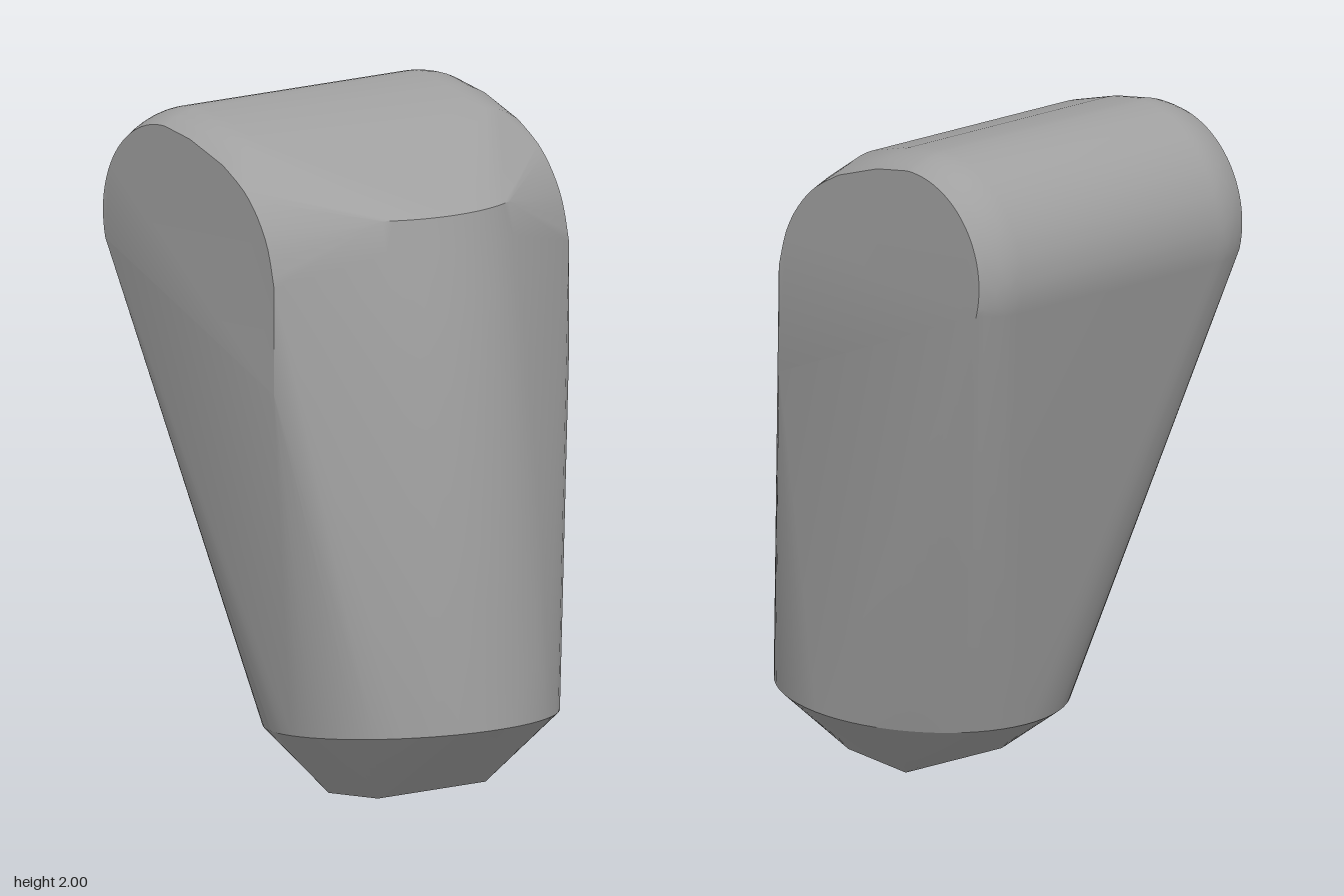
import * as THREE from 'three';
import { ConvexGeometry } from 'three/addons/geometries/ConvexGeometry.js';
import { toCreasedNormals } from 'three/addons/utils/BufferGeometryUtils.js';

export function createModel() {
  const group = new THREE.Group();
  const grey = new THREE.MeshStandardMaterial({ color: 0xa0a0a0 });
  grey.name = 'grey';

  const points = [];
  const add = (x, y, z) => points.push(new THREE.Vector3(x, y, z));
  const addPair = (x, y, z) => { add(x, y, z); add(-x, y, z); };

  // Small slanted foot plate
  for (const x of [-0.225, 0.165]) {
    add(x, 0.025, 0.34);
    add(x, 0, 0.1);
  }

  // Tilted round rim above the foot
  for (let i = 0; i < 64; i++) {
    const a = (i / 64) * Math.PI * 2;
    add(0.435 * Math.sin(a), 0.215 + 0.037 * Math.cos(a), 0.2 + 0.43 * Math.cos(a));
  }

  // Bowed front: arcs following the front profile [y, z]
  const front = new THREE.SplineCurve(
    [[0.25, 0.63], [0.7, 0.592], [1.1, 0.545], [1.45, 0.49], [1.75, 0.427]]
      .map(([y, z]) => new THREE.Vector2(y, z)));
  const R = 0.48;
  for (let i = 1; i <= 10; i++) {
    const p = front.getPoint(i / 10);
    for (let j = -8; j <= 8; j++) {
      const x = (j / 8) * 0.23;
      add(x, p.x, p.y - R + Math.sqrt(R * R - x * x));
    }
  }

  // Rounded head: circular back, with edges rolled over towards the sides
  for (let k = 0; k <= 6; k++) {
    const t = k / 6;
    const x = 0.4 + 0.135 * t;
    const drop = 0.04 * t * t;
    for (let i = 0; i <= 24; i++) {
      const a = THREE.MathUtils.degToRad(90 + (i / 24) * 106);
      addPair(x, 1.66 + (0.34 - drop) * Math.sin(a), -0.285 + (0.34 - drop) * Math.cos(a));
    }
    // Sloping crown in front of the circle
    addPair(x, 1.982 - drop, -0.16);
    addPair(x, 1.94 - drop * 1.2, 0);
  }

  // Flat side faces: rounded front corner and lower end
  const corner = new THREE.SplineCurve(
    [[0, 1.892], [0.1, 1.835], [0.17, 1.765], [0.22, 1.68], [0.25, 1.57]]
      .map(([z, y]) => new THREE.Vector2(z, y)));
  for (let i = 1; i <= 12; i++) {
    const p = corner.getPoint(i / 12);
    addPair(0.535, p.y, p.x);
  }
  addPair(0.535, 1.25, 0.25);

  const body = new THREE.Mesh(
    toCreasedNormals(new ConvexGeometry(points), THREE.MathUtils.degToRad(32)), grey);
  body.name = 'body';
  group.add(body);
  return group;
}
